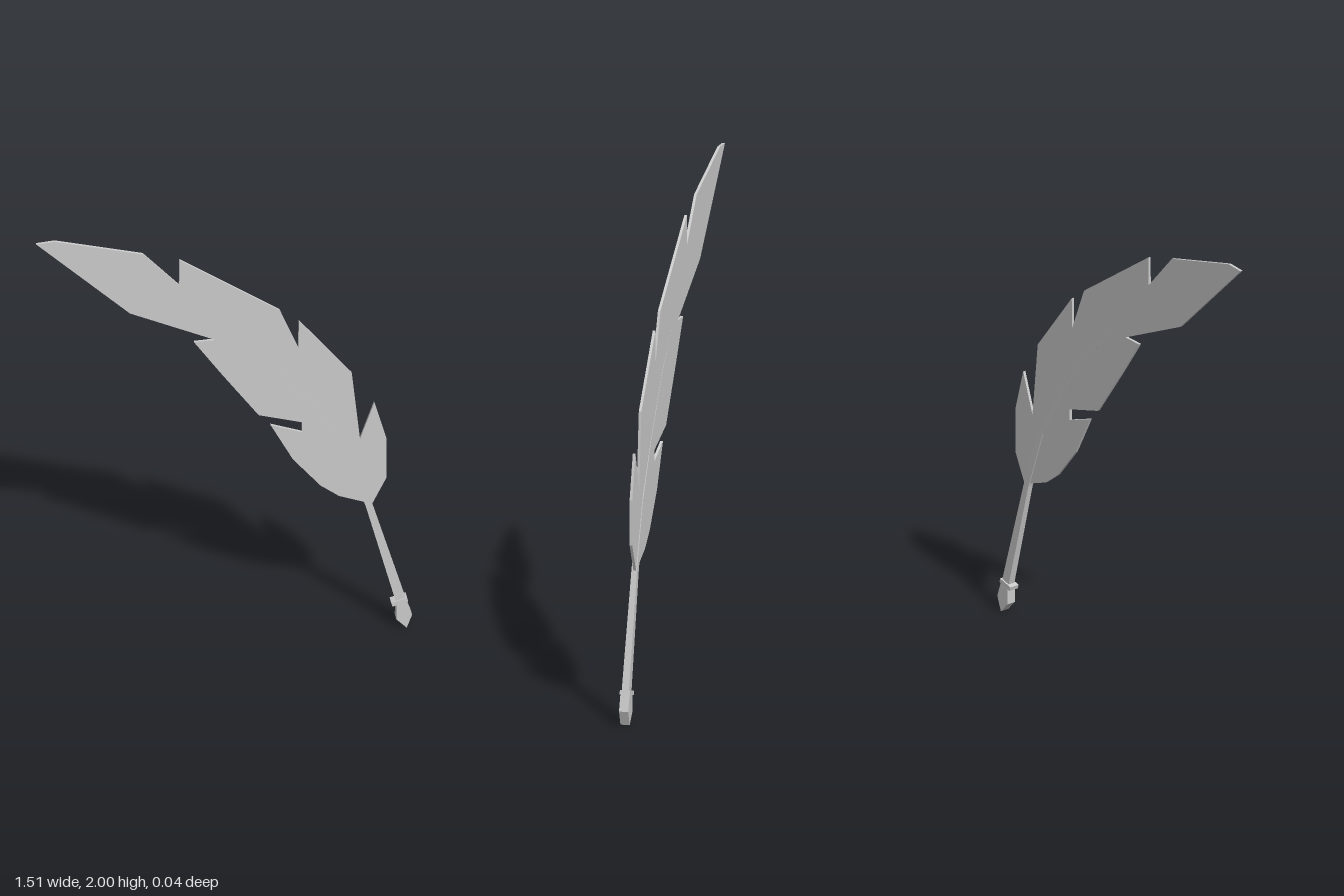
import * as THREE from 'three';

const material = new THREE.MeshStandardMaterial({ color: 0xcccccc, flatShading: true });

// Flat plate cut from an outline, centred on z
function plate(name, points, depth, z = 0) {
  const shape = new THREE.Shape(points.map(([x, y]) => new THREE.Vector2(x, y)));
  const geometry = new THREE.ExtrudeGeometry(shape, { depth, bevelEnabled: false });
  geometry.translate(0, 0, z - depth / 2);
  const mesh = new THREE.Mesh(geometry, material);
  mesh.name = name;
  return mesh;
}

// Square-section rod along stations [x, y, half width, half depth, z]
function taperedRod(name, stations) {
  const positions = [], index = [];
  stations.forEach(([x, y, w, d, z], i) => {
    const a = stations[Math.max(i - 1, 0)], b = stations[Math.min(i + 1, stations.length - 1)];
    const t = new THREE.Vector2(b[0] - a[0], b[1] - a[1]).normalize();
    for (const [u, v] of [[-1, 1], [1, 1], [1, -1], [-1, -1]]) {
      positions.push(x + t.y * w * u, y - t.x * w * u, z + d * v);
    }
  });
  for (let i = 0; i < stations.length - 1; i++) {
    for (let k = 0; k < 4; k++) {
      const a = i * 4 + k, b = i * 4 + (k + 1) % 4;
      index.push(a, b, b + 4, a, b + 4, a + 4);
    }
  }
  const e = (stations.length - 1) * 4;
  index.push(0, 2, 1, 0, 3, 2, e, e + 1, e + 2, e, e + 2, e + 3);
  let geometry = new THREE.BufferGeometry();
  geometry.setAttribute('position', new THREE.Float32BufferAttribute(positions, 3));
  geometry.setIndex(index);
  geometry = geometry.toNonIndexed();
  geometry.computeVertexNormals();
  const mesh = new THREE.Mesh(geometry, material);
  mesh.name = name;
  return mesh;
}

export function createModel() {
  const quill = new THREE.Group();
  quill.name = 'quillPen';

  // Feather blade with its notches
  quill.add(plate('featherVane', [
    [-0.755, 1.995], [-0.378, 1.622], [-0.035, 1.457], [-0.12, 1.455], [-0.008, 1.288],
    [0.14, 1.076], [0.315, 1.022], [0.315, 0.975], [0.188, 1.023], [0.278, 0.848],
    [0.389, 0.71], [0.463, 0.652], [0.57, 0.61], [0.597, 0.6], [0.655, 0.72],
    [0.655, 0.906], [0.606, 1.086], [0.548, 0.917], [0.515, 1.235], [0.302, 1.51],
    [0.3, 1.38], [0.225, 1.57], [-0.178, 1.855], [-0.18, 1.735], [-0.325, 1.9], [-0.68, 2],
  ], 0.011, -0.003));

  // Shaft, thinning into a rib along the blade
  quill.add(taperedRod('shaft', [
    [0.716, 0.11, 0.021, 0.015, 0], [0.583, 0.6, 0.014, 0.0115, -0.001],
    [0.49, 0.864, 0.011, 0.0095, -0.002], [0.36, 1.08, 0.009, 0.008, -0.002],
    [0.19, 1.314, 0.007, 0.0065, -0.003], [0.05, 1.45, 0.004, 0.0055, -0.003],
  ]));

  // Writing tip
  quill.add(plate('nib', [
    [0.692, 0.115], [0.691, 0.045], [0.733, 0], [0.755, 0.06], [0.733, 0.128],
  ], 0.038));

  // Small band above the tip
  const collar = new THREE.Mesh(new THREE.BoxGeometry(0.066, 0.018, 0.042), material);
  collar.name = 'collar';
  collar.position.set(0.705, 0.126, 0);
  collar.rotation.z = 0.27;
  quill.add(collar);

  return quill;
}
